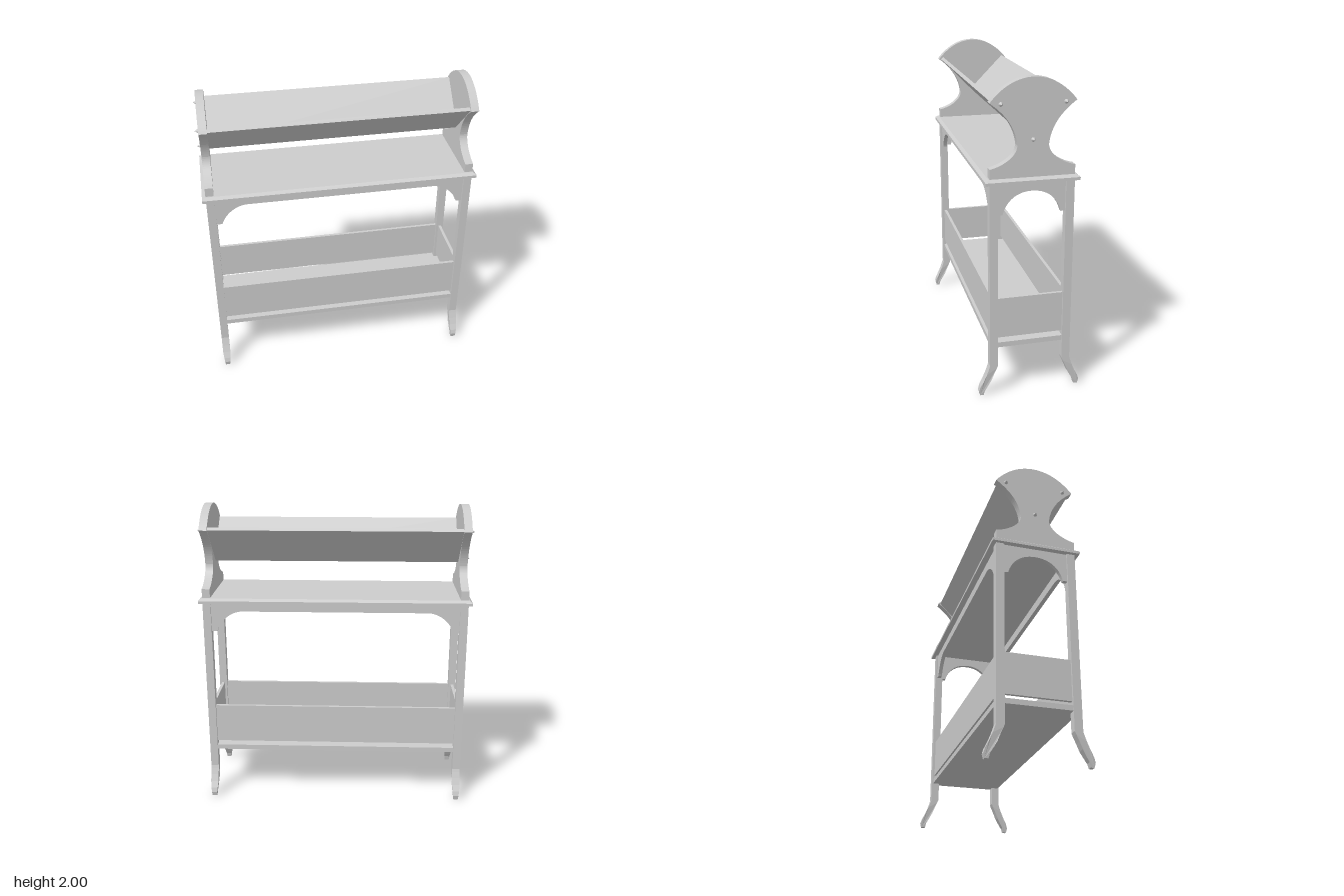
import * as THREE from 'three';

export function createModel() {
  const model = new THREE.Group();
  const wood = new THREE.MeshStandardMaterial({ color: 0xcccccc });
  wood.name = 'plain grey';

  const add = (name, geometry, x = 0, y = 0, z = 0, turn = 0) => {
    const mesh = new THREE.Mesh(geometry, wood);
    mesh.name = name;
    mesh.position.set(x, y, z);
    mesh.rotation.y = turn;
    model.add(mesh);
    return mesh;
  };
  // Shape drawn in x-y, thickened evenly about z = 0
  const plate = (shape, depth) =>
    new THREE.ExtrudeGeometry(shape, { depth, bevelEnabled: false, curveSegments: 16 }).translate(0, 0, -depth / 2);
  // Shape drawn in z-y, thickened along x
  const sidePlate = (shape, depth) => plate(shape, depth).rotateY(-Math.PI / 2);

  const legX = 0.844, legZ = 0.232;

  // Legs with outward curved, tapering feet
  const legOutline = new THREE.Shape([
    [0.206, 1.39], [0.206, 0.205], [0.214, 0.185], [0.232, 0.145], [0.25, 0.1],
    [0.275, 0.055], [0.29, 0.03], [0.297, 0], [0.32, 0], [0.327, 0.03], [0.318, 0.06],
    [0.297, 0.1], [0.278, 0.145], [0.264, 0.185], [0.258, 0.205], [0.258, 1.39],
  ].map(([z, y]) => new THREE.Vector2(z, y)));
  const legGeometry = sidePlate(legOutline, 0.052);
  const p = legGeometry.attributes.position;
  for (let i = 0; i < p.count; i++) {
    const t = Math.min(1, p.getY(i) / 0.1);
    p.setX(i, p.getX(i) * (0.58 + 0.42 * t));
  }
  legGeometry.computeVertexNormals();
  for (const x of [-legX, legX]) {
    add('frontLeg', legGeometry, x);
    add('backLeg', legGeometry, x, 0, 0, Math.PI);
  }

  // Lower shelf and the four boards floating above it
  add('lowerShelf', new THREE.BoxGeometry(1.73, 0.033, 0.5), 0, 0.345, 0);
  for (const s of [-1, 1]) {
    add('longTroughBoard', new THREE.BoxGeometry(1.64, 0.263, 0.02), 0, 0.522, s * legZ);
    add('shortTroughBoard', new THREE.BoxGeometry(0.02, 0.263, 0.42), s * legX, 0.522, 0);
  }

  // Long aprons with curved brackets at both ends
  const longApron = new THREE.Shape();
  longApron.moveTo(-0.82, 1.39);
  longApron.lineTo(-0.82, 1.19);
  longApron.lineTo(-0.782, 1.19);
  longApron.bezierCurveTo(-0.755, 1.27, -0.68, 1.325, -0.61, 1.325);
  longApron.lineTo(0.61, 1.325);
  longApron.bezierCurveTo(0.68, 1.325, 0.755, 1.27, 0.782, 1.19);
  longApron.lineTo(0.82, 1.19);
  longApron.lineTo(0.82, 1.39);

  // Short aprons with one arch
  const shortApron = new THREE.Shape();
  shortApron.moveTo(-0.21, 1.39);
  shortApron.lineTo(-0.21, 1.19);
  shortApron.lineTo(-0.178, 1.19);
  shortApron.bezierCurveTo(-0.155, 1.28, -0.09, 1.33, 0, 1.33);
  shortApron.bezierCurveTo(0.09, 1.33, 0.155, 1.28, 0.178, 1.19);
  shortApron.lineTo(0.21, 1.19);
  shortApron.lineTo(0.21, 1.39);
  for (const s of [-1, 1]) {
    add('longApron', plate(longApron, 0.028), 0, 0, s * legZ);
    add('shortApron', sidePlate(shortApron, 0.028), s * legX);
  }

  // Table top: square lower edge, bevelled upper edge
  add('tableTopEdge', new THREE.BoxGeometry(1.786, 0.018, 0.57), 0, 1.394, 0);
  const bevel = new THREE.BoxGeometry(1.786, 0.015, 0.57).toNonIndexed();
  const b = bevel.attributes.position;
  for (let i = 0; i < b.count; i++) {
    if (b.getY(i) > 0) {
      b.setX(i, b.getX(i) - Math.sign(b.getX(i)) * 0.02);
      b.setZ(i, b.getZ(i) - Math.sign(b.getZ(i)) * 0.02);
    }
  }
  bevel.computeVertexNormals();
  add('tableTopBevel', bevel, 0, 1.4105, 0);

  // Waisted end panels with a fan-shaped top
  const end = new THREE.Shape();
  end.moveTo(-0.257, 1.417);
  end.lineTo(0.257, 1.417);
  end.lineTo(0.257, 1.477);
  end.bezierCurveTo(0.18, 1.492, 0.095, 1.545, 0.094, 1.61);
  end.bezierCurveTo(0.105, 1.71, 0.16, 1.79, 0.257, 1.86);
  end.bezierCurveTo(0.19, 1.945, 0.1, 2, 0, 2);
  end.bezierCurveTo(-0.1, 2, -0.19, 1.945, -0.257, 1.86);
  end.bezierCurveTo(-0.16, 1.79, -0.105, 1.71, -0.094, 1.61);
  end.bezierCurveTo(-0.095, 1.545, -0.18, 1.492, -0.257, 1.477);
  const endGeometry = sidePlate(end, 0.052);

  // Pointed pegs on the outside of each end panel
  const peg = new THREE.ConeGeometry(0.014, 0.024, 12).rotateZ(-Math.PI / 2);
  for (const s of [-1, 1]) {
    add('endPanel', endGeometry, s * legX);
    for (const [z, y] of [[-0.192, 1.852], [0.192, 1.852], [0, 1.64]])
      add('peg', peg, s * 0.881, y, z, s > 0 ? 0 : Math.PI);
  }

  // V-shaped upper trough
  const vee = new THREE.Shape([
    [0, 1.614], [0.242, 1.86], [0.226, 1.876], [0, 1.646], [-0.226, 1.876], [-0.242, 1.86],
  ].map(([z, y]) => new THREE.Vector2(z, y)));
  add('upperTrough', sidePlate(vee, 1.64));

  return model;
}
